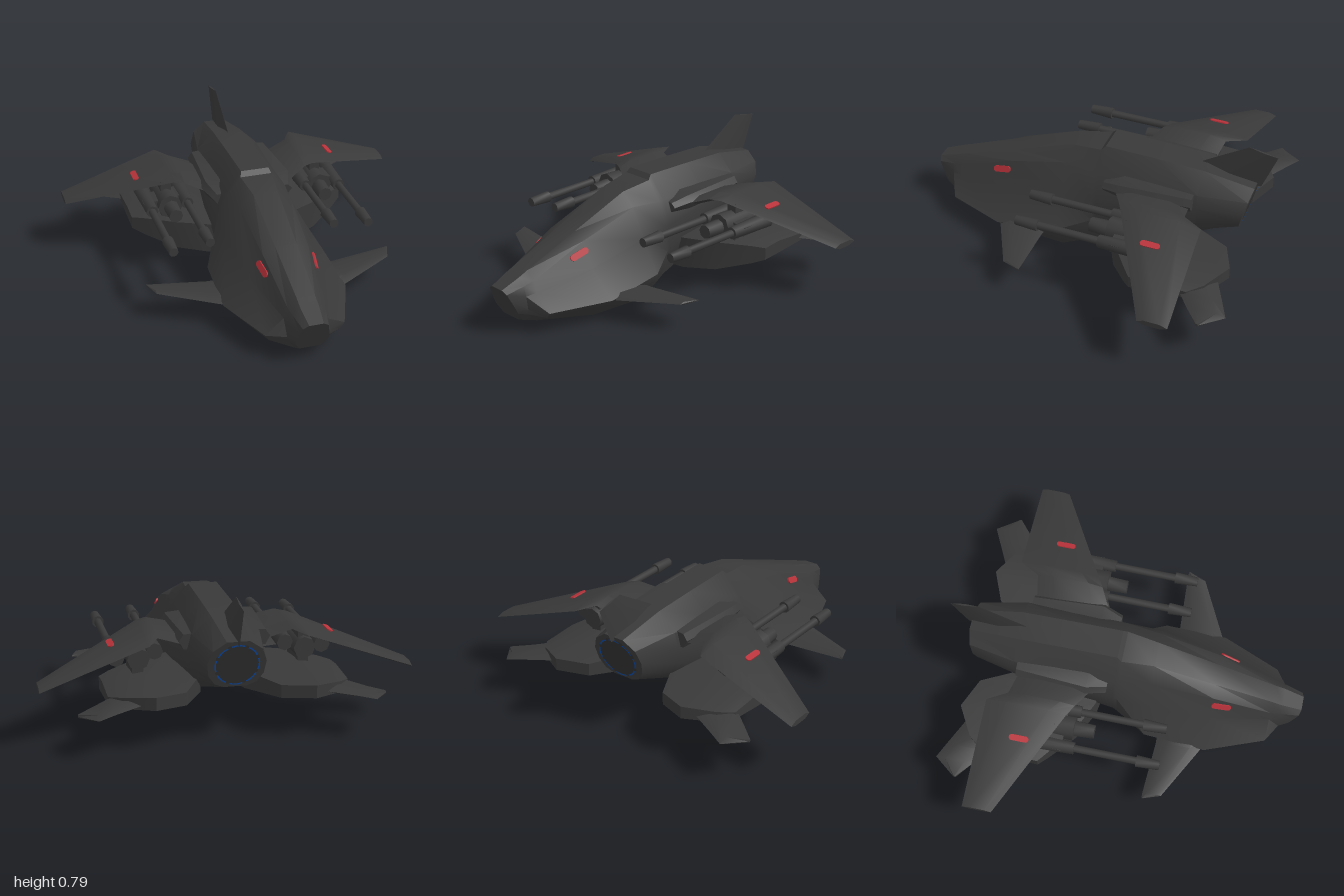
import * as THREE from 'three';
import { toCreasedNormals } from 'three/addons/utils/BufferGeometryUtils.js';

const V = (x, y, z) => new THREE.Vector3(x, y, z);
const mat = (name, color) => new THREE.MeshStandardMaterial({ name, color });

// Skin a list of equal-length closed rings of [x, y, z] points, with capped ends
function loft(rings, crease = 0.5) {
  const n = rings[0].length, pos = rings.flat(2), idx = [];
  for (let r = 0; r < rings.length - 1; r++) {
    for (let i = 0; i < n; i++) {
      const j = (i + 1) % n, a = r * n + i, b = r * n + j;
      idx.push(a, b, b + n, a, b + n, a + n);
    }
  }
  const last = (rings.length - 1) * n;
  for (let i = 1; i < n - 1; i++) idx.push(0, i + 1, i, last, last + i, last + i + 1);
  // Signed volume tells whether the faces point outwards
  let vol = 0;
  const p = k => V(...pos.slice(k * 3, k * 3 + 3));
  for (let k = 0; k < idx.length; k += 3) vol += p(idx[k]).dot(p(idx[k + 1]).cross(p(idx[k + 2])));
  if (vol < 0) idx.reverse();
  const g = new THREE.BufferGeometry();
  g.setAttribute('position', new THREE.Float32BufferAttribute(pos, 3));
  g.setIndex(idx);
  return toCreasedNormals(g, crease);
}

// Copy of a geometry reflected in x, with its corner order restored
function reflect(geo) {
  const g = geo.index ? geo.toNonIndexed() : geo.clone();
  g.scale(-1, 1, 1);
  for (const name of ['position', 'normal']) {
    const a = g.attributes[name].array;
    for (let i = 0; i < a.length; i += 9) {
      for (let k = 0; k < 3; k++) [a[i + 3 + k], a[i + 6 + k]] = [a[i + 6 + k], a[i + 3 + k]];
    }
  }
  return g;
}

// Thin blade across x: stations of [x, y, zFront, zBack, halfThickness]
const blade = stations => loft(stations.map(([x, y, f, b, t]) => {
  const at = k => f + (b - f) * k;
  return [[x, y, f], [x, y + t, at(0.22)], [x, y + t, at(0.75)],
    [x, y, b], [x, y - t, at(0.75)], [x, y - t, at(0.22)]];
}));

// Tube or cone running along z from z0 (front) to z1
function rod(x, y, z0, z1, r0, r1 = r0, sides = 10) {
  const g = new THREE.CylinderGeometry(r0, r1, z0 - z1, sides);
  g.rotateX(Math.PI / 2).translate(x, y, (z0 + z1) / 2);
  return toCreasedNormals(g, 0.8);
}

// Thin rounded marking laid on a surface
function marking(center, along, normal, length, width) {
  const s = new THREE.Shape(), r = width / 2, h = length / 2 - r;
  s.absarc(h, 0, r, -Math.PI / 2, Math.PI / 2);
  s.absarc(-h, 0, r, Math.PI / 2, Math.PI * 1.5);
  const g = new THREE.ExtrudeGeometry(s, { depth: 0.008, bevelEnabled: false, curveSegments: 6 });
  const ax = along.normalize(), az = normal.normalize();
  g.applyMatrix4(new THREE.Matrix4().makeBasis(ax, az.clone().cross(ax), az));
  return g.translate(center.x, center.y, center.z);
}

export function createModel() {
  const model = new THREE.Group();
  model.name = 'spacecraft';
  const hullGrey = mat('hullGrey', 0x393939);
  const nozzleGrey = mat('nozzleGrey', 0x303030);
  const markRed = mat('markRed', 0xb8323a);
  const glowBlue = mat('glowBlue', 0x0a4aa8);

  const add = (name, geo, material = hullGrey) => {
    const m = new THREE.Mesh(geo, material);
    m.name = name;
    model.add(m);
  };
  const pair = (name, geo, material) => {
    add(name + 'Left', geo, material);
    add(name + 'Right', reflect(geo), material);
  };

  // Fuselage stations: z, backward lean, then half outline from top to belly
  const hull = [
    [1.0, 0.47, [0.04, 0.26], [0.07, 0.24], [0.08, 0.2], [0.09, 0.15], [0.09, 0.12], [0.06, 0.07]],
    [0.89, 0, [0.05, 0.303], [0.09, 0.265], [0.105, 0.21], [0.12, 0.14], [0.11, 0.11], [0.08, 0.067]],
    [0.83, 0, [0.05, 0.327], [0.1, 0.28], [0.12, 0.22], [0.22, 0.13], [0.2, 0.1], [0.12, 0.058]],
    [0.5, 0, [0.06, 0.455], [0.13, 0.42], [0.2, 0.28], [0.35, 0.14], [0.32, 0.11], [0.2, 0.005]],
    [0.15, 0, [0.07, 0.59], [0.15, 0.52], [0.235, 0.36], [0.34, 0.18], [0.32, 0.13], [0.23, 0]],
    [-0.03, 0, [0.09, 0.615], [0.175, 0.51], [0.23, 0.38], [0.24, 0.23], [0.23, 0.17], [0.19, 0.06]],
    [-0.055, 0, [0.08, 0.64], [0.18, 0.51], [0.23, 0.38], [0.235, 0.24], [0.22, 0.18], [0.185, 0.07]],
    [-0.35, 0, [0.08, 0.635], [0.18, 0.52], [0.22, 0.42], [0.22, 0.3], [0.2, 0.24], [0.16, 0.15]],
    [-0.62, 0, [0.08, 0.627], [0.18, 0.53], [0.2, 0.45], [0.19, 0.35], [0.17, 0.29], [0.12, 0.24]],
    [-0.9, -0.25, [0.06, 0.57], [0.13, 0.52], [0.155, 0.45], [0.145, 0.38], [0.11, 0.33], [0.06, 0.31]],
  ].map(([z, lean, ...half]) => {
    const side = half.map(([x, y]) => [x, y, z - lean * (half[0][1] - y)]);
    return [...side, ...side.map(([x, y, d]) => [-x, y, d]).reverse()];
  });
  add('fuselage', loft(hull, 0.55));

  // Tail fin
  add('tailFin', loft([
    [-0.48, -0.92, 0.55, 0.55, 0.022],
    [-0.6, -0.955, 0.64, 0.64, 0.016],
    [-0.84, -1.0, 0.79, 0.76, 0.006],
  ].map(([f, b, yf, yb, t]) => {
    const m = (f + b) / 2, ym = (yf + yb) / 2;
    return [[0, yf, f], [t, ym, m], [0, yb, b], [-t, ym, m]];
  })));

  // Engine outlet with broken blue ring, tilted to the rear face
  const tilt = g => g.rotateY(Math.PI).rotateX(-Math.atan(0.25));
  const disc = tilt(new THREE.CircleGeometry(0.122, 8, Math.PI / 8));
  add('engineOutlet', disc.translate(0, 0.439, -0.871), nozzleGrey);
  for (let i = 0; i < 8; i++) {
    const dash = tilt(new THREE.RingGeometry(0.112, 0.122, 1, 1, Math.PI / 8 + i * Math.PI / 4, Math.PI / 4));
    // Shrink each dash about its own middle to leave gaps
    dash.computeBoundingBox();
    const c = dash.boundingBox.getCenter(V(0, 0, 0));
    dash.translate(-c.x, -c.y, -c.z).scale(0.75, 0.75, 0.75).translate(c.x, c.y, c.z);
    add('engineGlow' + (i + 1), dash.translate(0, 0.438, -0.875), glowBlue);
  }

  // Drooping main wings and their root fairings
  pair('mainWing', blade([
    [0.15, 0.455, -0.12, -0.58, 0.025],
    [0.24, 0.475, -0.17, -0.59, 0.025],
    [0.36, 0.52, -0.235, -0.61, 0.022],
    [0.42, 0.515, -0.27, -0.72, 0.02],
    [0.99, 0.313, -0.575, -0.74, 0.015],
  ]));
  pair('wingRoot', loft([[-0.09, 0.19, 0.47, 0.03], [-0.2, 0.225, 0.49, 0.045], [-0.6, 0.2, 0.49, 0.045]].map(
    ([z, x, y, h]) => [[x - 0.06, y + h, z], [x + 0.02, y + h * 0.8, z], [x + 0.045, y, z],
      [x + 0.02, y - h, z], [x - 0.06, y - h, z]])));

  // Small front fins
  pair('frontFin', blade([
    [0.28, 0.135, 0.51, 0.22, 0.03],
    [0.36, 0.137, 0.475, 0.225, 0.022],
    [0.67, 0.165, 0.315, 0.21, 0.008],
    [0.705, 0.168, 0.22, 0.21, 0.004],
  ]));

  // Lower nacelles: x, zFront, zBack, front bottom/top, back bottom/top
  pair('lowerNacelle', loft([
    [0.12, -0.13, -0.56, 0.1, 0.27, 0.19, 0.29],
    [0.25, -0.15, -0.82, 0.1, 0.28, 0.22, 0.29],
    [0.42, -0.23, -0.89, 0.115, 0.28, 0.23, 0.3],
    [0.58, -0.35, -0.8, 0.165, 0.27, 0.22, 0.28],
    [0.64, -0.4, -0.72, 0.19, 0.26, 0.22, 0.26],
  ].map(([x, f, b, fb, ft, bb, bt]) => {
    const m = f + (b - f) * 0.35;
    return [[x, fb, f], [x, ft, f], [x, Math.max(ft, bt) + 0.012, m], [x, bt, b],
      [x, bb, b], [x, fb + (bb - fb) * 0.3, m]];
  })));
  pair('lowerFin', blade([
    [0.45, 0.25, -0.54, -0.83, 0.03],
    [0.64, 0.237, -0.69, -0.925, 0.02],
    [0.72, 0.228, -0.755, -0.965, 0.014],
    [0.81, 0.215, -0.83, -0.845, 0.008],
  ]));

  // Twin guns under each wing
  for (const [name, x, y] of [['innerGun', 0.355, 0.41], ['outerGun', 0.56, 0.385]]) {
    pair(name + 'Barrel', rod(x, y, 0.2, -0.35, 0.021));
    pair(name + 'Muzzle', rod(x, y, 0.28, 0.15, 0.026, 0.033));
    pair(name + 'Breech', rod(x, y, -0.2, -0.5, 0.035, 0.045, 8));
  }
  pair('gunBody', rod(0.45, 0.39, -0.22, -0.55, 0.07, 0.06, 8));
  pair('gunSensor', rod(0.445, 0.385, -0.11, -0.23, 0.04, 0.045, 8));
  pair('gunCrossbar', new THREE.BoxGeometry(0.26, 0.05, 0.12).rotateZ(-0.13).translate(0.46, 0.395, -0.33));
  pair('gunPylon', new THREE.BoxGeometry(0.06, 0.22, 0.2).translate(0.45, 0.39, -0.42));

  // Red markings on the nose flanks and wing tops
  const along = V(-0.015, -0.03, 0.1);
  const outward = V(0.063, -0.128, 0).cross(along).negate();
  if (outward.x < 0) outward.negate();
  pair('noseMark', marking(V(0.146, 0.361, 0.55), along, outward, 0.115, 0.036), markRed);
  pair('wingMark', marking(V(0.59, 0.472, -0.5), V(0, 0, 1), V(0.334, 0.943, 0), 0.11, 0.034), markRed);

  return model;
}
